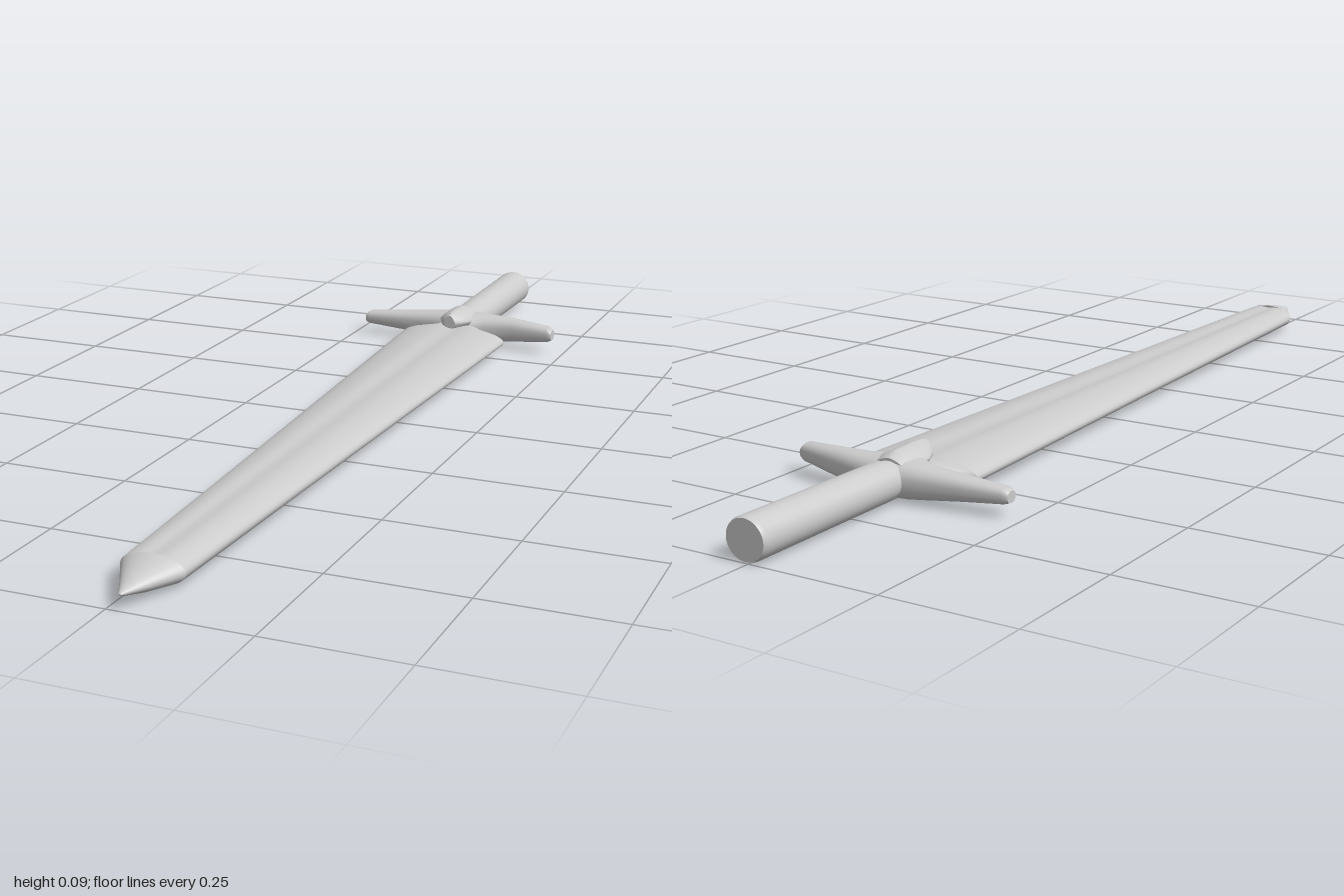
import * as THREE from 'three';

const SIDES = 40;
const material = new THREE.MeshStandardMaterial({ color: 0xcccccc, side: THREE.DoubleSide });
const spow = (v, p) => Math.sign(v) * Math.abs(v) ** p;

// Rounded cross-section in xy: s = [z, x0, x1, y0, y1]; power < 1 is boxier, > 1 more pointed
function ring([z, x0, x1, y0, y1], power, groove) {
  const points = [];
  for (let j = 0; j < SIDES; j++) {
    const a = (j / SIDES) * Math.PI * 2;
    const c = spow(Math.cos(a), power), s = spow(Math.sin(a), power);
    const dx = (c * (x1 - x0)) / 2;
    const dip = s > 0 ? groove * Math.exp(-((dx / 0.018) ** 2)) : 0;
    points.push([(x0 + x1) / 2 + dx, (y0 + y1) / 2 + (s * (y1 - y0)) / 2 - dip, z]);
  }
  return points;
}

// Skins a list of sections along z and closes both ends; a repeated section makes a crease
function loft(sections, power = 1, groove = 0) {
  const pos = [], index = [];
  const rings = sections.map((s) => ring(s, power, groove));
  rings.forEach((r) => r.forEach((p) => pos.push(...p)));
  for (let i = 0; i < rings.length - 1; i++) {
    if (sections[i] === sections[i + 1]) continue;
    for (let j = 0; j < SIDES; j++) {
      const k = (j + 1) % SIDES, a = i * SIDES, b = a + SIDES;
      index.push(a + j, a + k, b + k, a + j, b + k, b + j);
    }
  }
  for (const end of [0, rings.length - 1]) {
    const base = pos.length / 3;
    const [z, x0, x1, y0, y1] = sections[end];
    rings[end].forEach((p) => pos.push(...p));
    pos.push((x0 + x1) / 2, (y0 + y1) / 2, z);
    for (let j = 0; j < SIDES; j++) {
      const k = (j + 1) % SIDES;
      index.push(base + SIDES, base + (end ? j : k), base + (end ? k : j));
    }
  }
  const g = new THREE.BufferGeometry();
  g.setAttribute('position', new THREE.Float32BufferAttribute(pos, 3));
  g.setIndex(index);
  g.computeVertexNormals();
  return g;
}

export function createModel() {
  const model = new THREE.Group();
  const add = (name, geometry) => {
    const mesh = new THREE.Mesh(geometry, material);
    mesh.name = name;
    model.add(mesh);
    return mesh;
  };

  // Blade: lens section with a shallow fuller, notched shoulders, slightly skewed taper
  const shoulder = [-0.535, -0.11, 0.13, 0, 0.056];
  const tipStart = [0.89, -0.036, 0.08, 0, 0.053];
  add('blade', loft([
    [-0.6, -0.05, 0.06, 0.008, 0.054],
    [-0.56, -0.06, 0.07, 0.004, 0.055],
    shoulder, shoulder,
    [0.2, -0.071, 0.104, 0, 0.055],
    tipStart, tipStart,
  ], 1, 0.005));

  // Point: same section closing down to a small end
  add('bladePoint', loft([
    tipStart,
    [0.95, -0.003, 0.053, 0.011, 0.042],
    [0.99, 0.018, 0.033, 0.022, 0.032],
    [1, 0.023, 0.028, 0.026, 0.029],
  ]));

  // Grip: round bar with softened end
  add('grip', loft([
    [-1, -0.033, 0.043, 0.002, 0.074],
    [-0.992, -0.036, 0.046, 0, 0.076],
    [-0.66, -0.034, 0.043, 0.002, 0.074],
    [-0.63, -0.03, 0.04, 0.006, 0.068],
    [-0.59, -0.025, 0.035, 0.01, 0.06],
  ]));

  // Crossguard: skinned along x, so local z becomes x and local x becomes -z
  const guardEnds = [
    [-0.225, 0.592, 0.616, 0.025, 0.046],
    [0.225, 0.578, 0.606, 0.03, 0.052],
  ];
  const guard = add('crossguard', loft([
    guardEnds[0], guardEnds[0],
    [-0.215, 0.587, 0.622, 0.022, 0.052],
    [-0.13, 0.586, 0.634, 0.014, 0.059],
    [-0.06, 0.58, 0.645, 0.006, 0.065],
    [-0.03, 0.565, 0.65, 0.002, 0.069],
    [0.005, 0.555, 0.655, 0.001, 0.072],
    [0.04, 0.565, 0.65, 0.002, 0.07],
    [0.07, 0.578, 0.644, 0.006, 0.068],
    [0.13, 0.582, 0.632, 0.014, 0.066],
    [0.215, 0.575, 0.612, 0.025, 0.06],
    guardEnds[1], guardEnds[1],
  ], 0.8));
  guard.rotation.y = Math.PI / 2;

  // Ridged boss at the middle of the guard, reaching over the blade
  add('guardBoss', loft([
    [-0.635, -0.03, 0.04, 0.04, 0.074],
    [-0.615, -0.034, 0.044, 0.035, 0.083],
    [-0.565, -0.031, 0.041, 0.035, 0.085],
    [-0.54, -0.02, 0.03, 0.04, 0.084],
    [-0.525, -0.008, 0.018, 0.045, 0.08],
  ], 1.35));

  return model;
}
